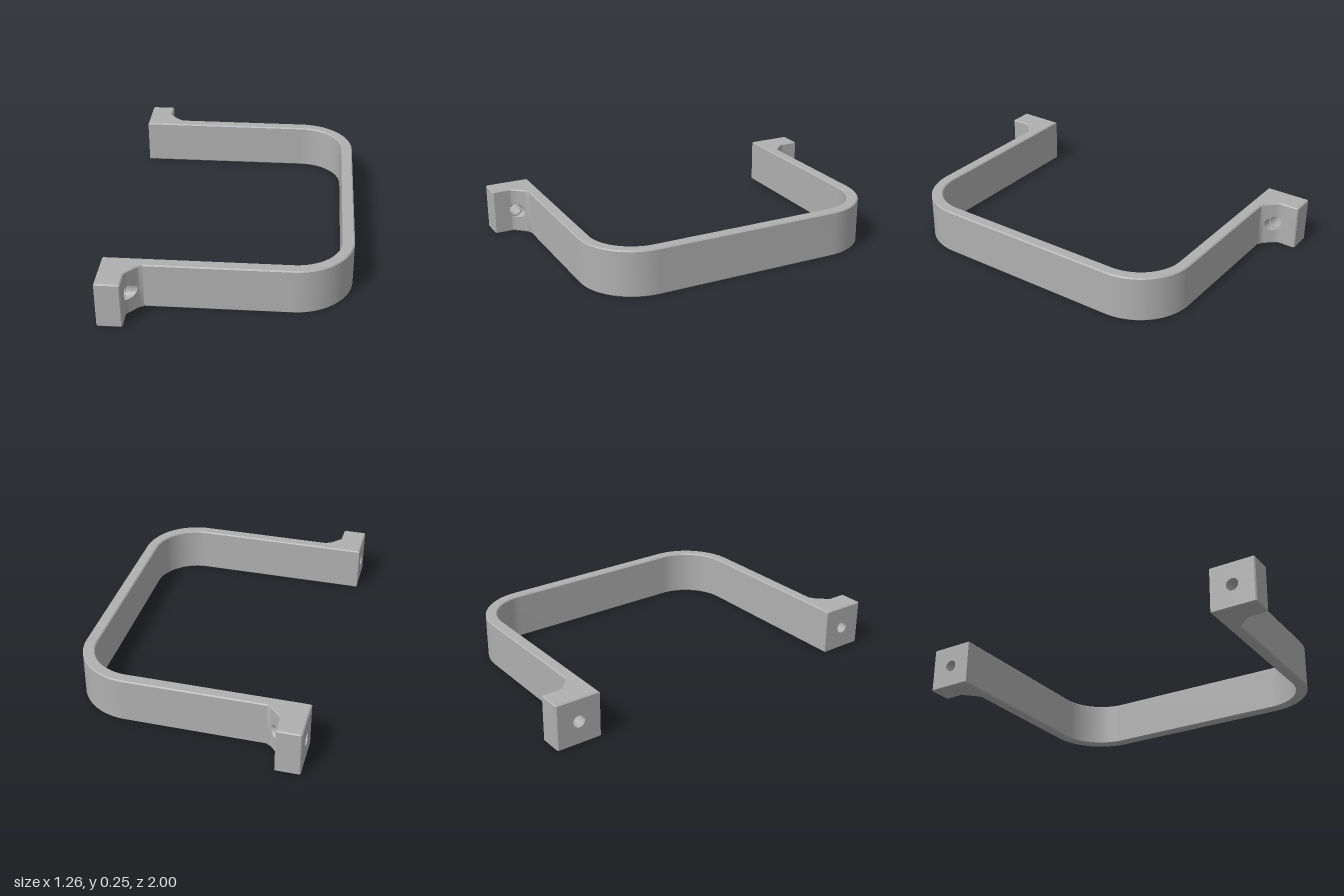
import * as THREE from 'three';
import { toCreasedNormals } from 'three/addons/utils/BufferGeometryUtils.js';

const H = 0.25, MID = H / 2, BEVEL = 0.006;
const BACK = -0.63, SEAT = -0.505;       // mounting face and counterbore floor
const HOLE_Z = 0.875, R_BOLT = 0.033, R_BORE = 0.041;

// Front face of the foot: x for each z, with a filleted diagonal gusset
const FACE = [[0.8, -0.42], [0.818, -0.42], [0.824, -0.434], [0.832, -0.444],
  [0.88, -0.489], [0.889, -0.496], [0.9, -0.5], [1, -0.5]];

function faceX(z) {
  for (let i = 1; i < FACE.length; i++) {
    const [z0, x0] = FACE[i - 1], [z1, x1] = FACE[i];
    if (z <= z1) return x0 + (x1 - x0) * (z - z0) / (z1 - z0);
  }
  return -0.5;
}

// Half the height of a round hole at a given z
function chord(r, z) {
  const d = r * r - (z - HOLE_Z) ** 2;
  return d > 1e-9 ? Math.sqrt(d) : 0;
}

// U-shaped strap, extruded upwards with small bevels
function strapGeometry() {
  const s = new THREE.Shape();
  s.moveTo(BACK, -0.818);
  s.lineTo(0.325, -0.818);
  s.absarc(0.325, -0.513, 0.305, -Math.PI / 2, 0, false);
  s.lineTo(0.63, 0.513);
  s.absarc(0.325, 0.513, 0.305, 0, Math.PI / 2, false);
  s.lineTo(BACK, 0.818);
  s.lineTo(BACK, 0.755);
  s.lineTo(0.325, 0.755);
  s.absarc(0.325, 0.513, 0.242, Math.PI / 2, 0, true);
  s.lineTo(0.567, -0.513);
  s.absarc(0.325, -0.513, 0.242, 0, -Math.PI / 2, true);
  s.lineTo(BACK, -0.755);
  s.closePath();
  const g = new THREE.ExtrudeGeometry(s, {
    depth: H - 2 * BEVEL, curveSegments: 24, bevelEnabled: true, bevelSegments: 1,
    bevelSize: BEVEL, bevelThickness: BEVEL, bevelOffset: -BEVEL,
  });
  g.rotateX(-Math.PI / 2).translate(0, BEVEL, 0);
  return toCreasedNormals(g, 0.5);
}

// Foot with gusset and stepped bolt hole: mirrored half sections swept along z
function footGeometry() {
  const zs = [...FACE.map(p => p[0]), 1 - BEVEL];
  for (const r of [R_BOLT, R_BORE])
    for (let i = 0; i <= 20; i++) zs.push(HOLE_Z + r * Math.cos(Math.PI * i / 20));
  zs.sort((a, b) => a - b);

  const section = z => {
    const e = z === 1 ? BEVEL : 0, b = BEVEL;
    const f = faceX(z) - e, k = BACK + e;
    const lo = MID - chord(R_BOLT, z), hi = MID - chord(R_BORE, z);
    return [[k, lo], [k, b], [k + b, e], [f - b, e], [f, b], [f, hi], [SEAT, hi], [SEAT, lo]]
      .map(([x, y]) => [x, y, z]);
  };

  const pos = [];
  const tri = (a, b, c, top) => {
    for (const p of top ? [a, c, b] : [a, b, c]) pos.push(p[0], top ? H - p[1] : p[1], p[2]);
  };
  for (const top of [false, true]) {
    for (let i = 1; i < zs.length; i++) {
      if (zs[i] - zs[i - 1] < 1e-6) continue;
      const A = section(zs[i - 1]), B = section(zs[i]);
      const inHole = chord(R_BORE, (zs[i] + zs[i - 1]) / 2) > 0;
      for (let j = 0; j < (inHole ? 8 : 5); j++) {
        const n = (j + 1) % 8;
        tri(A[j], A[n], B[n], top);
        tri(A[j], B[n], B[j], top);
      }
    }
    // End cap
    const L = section(1);
    for (let j = 1; j < 5; j++) tri(L[0], L[j], L[j + 1], top);
  }
  const g = new THREE.BufferGeometry();
  g.setAttribute('position', new THREE.Float32BufferAttribute(pos, 3));
  return toCreasedNormals(g, 0.5);
}

export function createModel() {
  const group = new THREE.Group();
  group.name = 'bracket';
  const metal = new THREE.MeshStandardMaterial({ color: 0xb0b0b0 });
  metal.name = 'grey metal';

  const strap = new THREE.Mesh(strapGeometry(), metal);
  strap.name = 'strap';
  group.add(strap);

  // The foot is symmetric in height, so a half turn makes the opposite one
  const geometry = footGeometry();
  const frontFoot = new THREE.Mesh(geometry, metal);
  frontFoot.name = 'frontFoot';
  const backFoot = new THREE.Mesh(geometry, metal);
  backFoot.name = 'backFoot';
  backFoot.rotation.x = Math.PI;
  backFoot.position.y = H;
  group.add(frontFoot, backFoot);
  return group;
}
